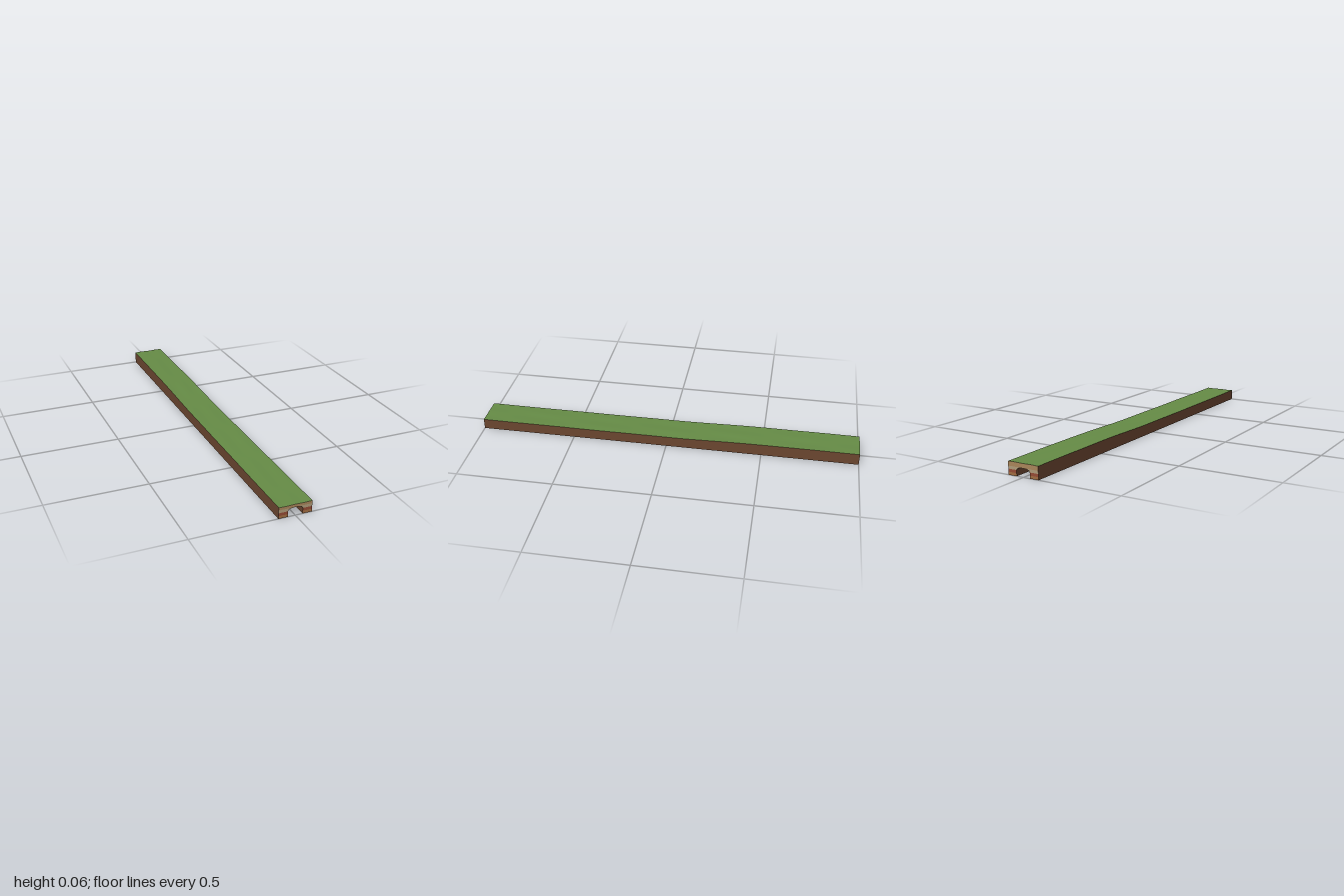
import * as THREE from 'three';
import { ParametricGeometry } from 'three/addons/geometries/ParametricGeometry.js';

const W = 0.082, HALF = 0.036, SPRING = 0.025, RISE = 0.016;
const LAYERS = [0, 0.014, 0.028, 0.042];
const LAYER_COLORS = [0xa06c40, 0x944a34, 0xae9a78, 0xa8845a];

// Ground height: low at the front, a gentle step up towards the back
function ground(x, z) {
  const step = THREE.MathUtils.smoothstep(-z, 0.0, 0.55);
  return 0.0555 + 0.008 * step + 0.0006 * Math.sin(x * 70 + z * 5) * Math.cos(z * 9);
}

// Underside of the tunnel opening at x
function arch(x) {
  const t = Math.min(1, Math.abs(x) / HALF);
  return SPRING + RISE * Math.pow(1 - Math.pow(t, 2.5), 1 / 2.5);
}

function material(color) {
  return new THREE.MeshStandardMaterial({ color, side: THREE.DoubleSide });
}

function surface(name, color, nu, nv, fn) {
  const mesh = new THREE.Mesh(new ParametricGeometry(fn, nu, nv), material(color));
  mesh.name = name;
  return mesh;
}

// Flat end wall in layered bands, with the tunnel mouth cut out
function endWall(name, z, dir) {
  const wall = new THREE.Group();
  wall.name = name;
  const spans = [
    { x: t => -W + t * (W - HALF), open: () => 0, n: 8 },
    { x: t => HALF * Math.sin((t - 0.5) * Math.PI), open: arch, n: 32 },
    { x: t => HALF + t * (W - HALF), open: () => 0, n: 8 },
  ];
  LAYERS.forEach((bottom, i) => {
    for (const span of spans) {
      if (span.open === arch && i === 0) continue;
      const band = surface('rockLayer' + (i + 1), LAYER_COLORS[i], span.n, 1, (u, v, p) => {
        const x = span.x(dir > 0 ? u : 1 - u);
        const low = Math.max(bottom, span.open(x));
        const top = i < 3 ? LAYERS[i + 1] : ground(x, z);
        p.set(x, low + v * (Math.max(top, low) - low), z);
      });
      const normal = band.geometry.attributes.normal;
      for (let k = 0; k < normal.count; k++) normal.setXYZ(k, 0, 0, dir);
      wall.add(band);
    }
  });
  return wall;
}

export function createModel() {
  const model = new THREE.Group();
  model.name = 'tunnelSection';

  // Grass surface
  model.add(surface('grassTop', 0x668c46, 14, 100, (u, v, p) => {
    const x = (u * 2 - 1) * W, z = 1 - 2 * v;
    p.set(x, ground(x, z), z);
  }));

  // Earth side walls
  for (const s of [-1, 1]) {
    model.add(surface(s > 0 ? 'leftEarthWall' : 'rightEarthWall', 0x6b4630, 100, 1, (u, v, p) => {
      const z = s * (1 - 2 * u);
      p.set(s * W, v * ground(s * W, z), z);
    }));

    // Straight lower walls of the tunnel
    model.add(surface(s > 0 ? 'leftTunnelWall' : 'rightTunnelWall', 0x6b4630, 1, 1, (u, v, p) => {
      p.set(s * HALF, v * SPRING, s * (2 * u - 1));
    }));
  }

  // Tunnel vault
  model.add(surface('tunnelVault', 0x6b4630, 32, 1, (u, v, p) => {
    const x = HALF * Math.sin((u - 0.5) * Math.PI);
    p.set(x, arch(x), 1 - 2 * v);
  }));

  model.add(endWall('frontWall', 1, 1), endWall('backWall', -1, -1));
  return model;
}
